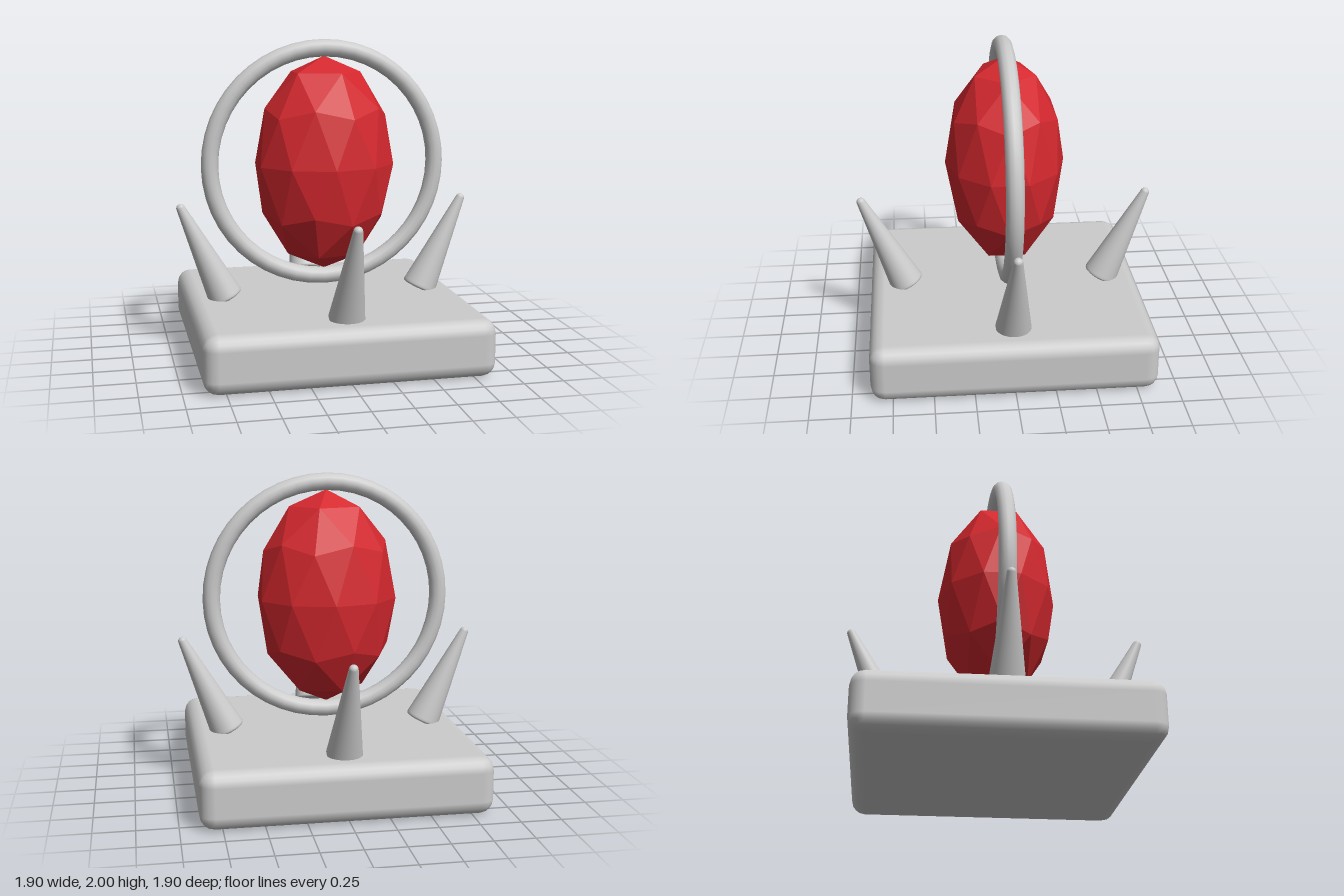
import * as THREE from 'three';
import { RoundedBoxGeometry } from 'three/addons/geometries/RoundedBoxGeometry.js';

const grey = new THREE.MeshStandardMaterial({ color: 0xcccccc });
const red = new THREE.MeshStandardMaterial({ color: 0xd4282e, flatShading: true });

function addMesh(parent, name, geometry, material, x, y, z) {
  const mesh = new THREE.Mesh(geometry, material);
  mesh.name = name;
  mesh.position.set(x, y, z);
  parent.add(mesh);
  return mesh;
}

// Tapered spike with a softened base rim and a round tip, standing on y = 0
function spikeGeometry() {
  const length = 0.653, tip = 0.028;
  const points = [[0, 0], [0.098, 0], [0.108, 0.005], [0.111, 0.014], [0.109, 0.026]]
    .map(([r, y]) => new THREE.Vector2(r, y));
  for (let i = 0; i <= 5; i++) {
    const a = 0.13 + (Math.PI / 2 - 0.13) * (i / 5);
    points.push(new THREE.Vector2(i === 5 ? 0 : tip * Math.cos(a), length + tip * Math.sin(a)));
  }
  return new THREE.LatheGeometry(points, 32);
}

export function createModel() {
  const model = new THREE.Group();
  model.name = 'gemStand';
  const centreY = 1.21;

  // Square base with rounded edges
  addMesh(model, 'base', new RoundedBoxGeometry(1.77, 0.36, 1.77, 2, 0.09), grey, 0, 0.18, 0);

  // Upright ring around the gem
  addMesh(model, 'ring', new THREE.TorusGeometry(0.735, 0.055, 12, 48), grey, 0, centreY, 0);

  // Faceted gem: icosahedron turned so that a corner points up, then stretched
  const gem = new THREE.IcosahedronGeometry(1, 1);
  gem.rotateZ(-Math.atan(2 / (1 + Math.sqrt(5))));
  gem.scale(0.45, 0.685, 0.378);
  gem.computeVertexNormals();
  addMesh(model, 'gem', gem, red, 0, centreY, 0);

  // Four spikes leaning outwards, one per side
  const spike = spikeGeometry();
  ['leftSpike', 'backSpike', 'rightSpike', 'frontSpike'].forEach((name, i) => {
    const arm = new THREE.Group();
    arm.name = name;
    arm.rotation.y = i * Math.PI / 2;
    addMesh(arm, name + 'Cone', spike, grey, 0.645, 0.36, 0).rotation.z = -THREE.MathUtils.degToRad(25);
    model.add(arm);
  });

  return model;
}
